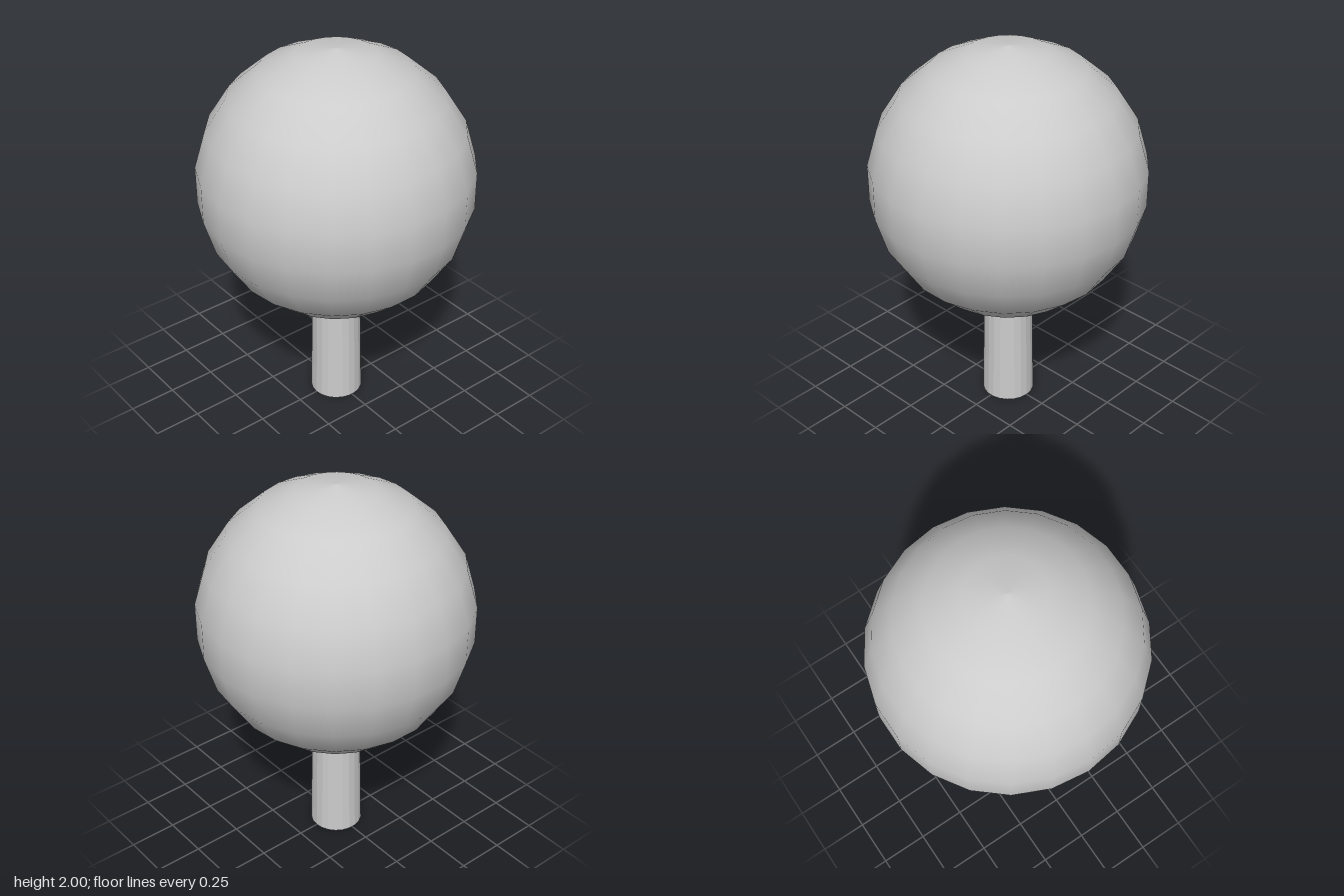
import * as THREE from 'three';

const SIDES = 22, RINGS = 11, RADIUS = 0.7, CENTRE = 1.3;

// Point on the ball's outline, k rings down from the top
function ringPoint(k) {
  const a = (k * Math.PI) / RINGS;
  return new THREE.Vector2(RADIUS * Math.sin(a), CENTRE + RADIUS * Math.cos(a));
}

function lathe(name, points, flatShading) {
  const material = new THREE.MeshStandardMaterial({ color: 0xcccccc, flatShading, side: THREE.DoubleSide });
  const mesh = new THREE.Mesh(new THREE.LatheGeometry(points, SIDES), material);
  mesh.name = name;
  return mesh;
}

export function createModel() {
  const group = new THREE.Group();
  group.name = 'ballOnStem';

  // Smooth ball, open underneath where the stem joins
  const outline = [];
  for (let k = RINGS - 1; k >= 0; k--) outline.push(ringPoint(k));
  group.add(lathe('ball', outline, false));

  // Flared collar between stem and ball
  const neck = new THREE.Vector2(0.127, 0.583);
  group.add(lathe('collar', [neck, ringPoint(RINGS - 1)], true));

  // Slightly tapered hollow stem, open at the foot
  group.add(lathe('stem', [new THREE.Vector2(0.138, 0), neck], true));

  return group;
}
